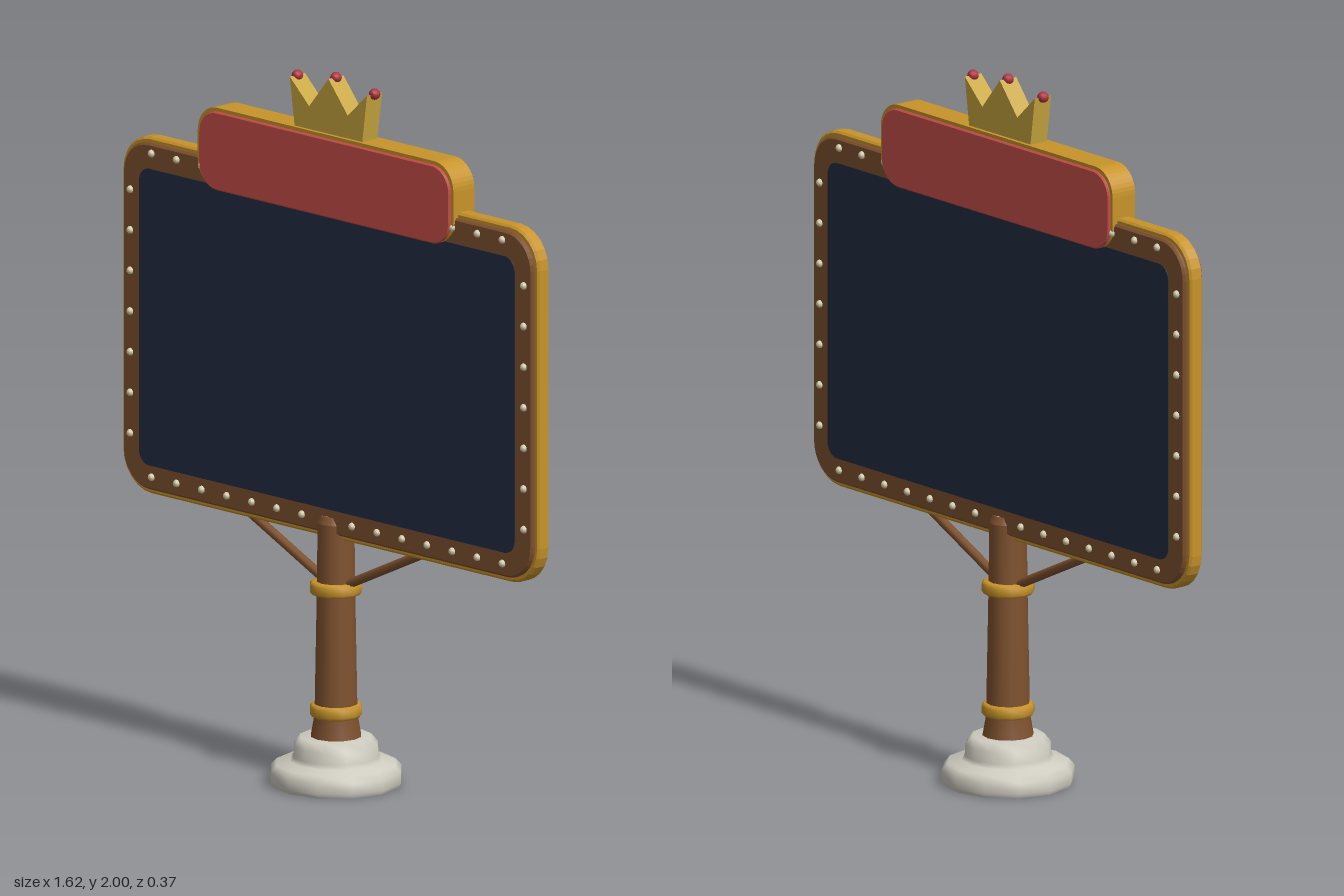
import * as THREE from 'three';

const material = (name, color) => {
  const m = new THREE.MeshStandardMaterial({ color });
  m.name = name;
  return m;
};

// Rounded rectangle outline spanning x = -w..w, y = y0..y1
function roundedRect(w, y0, y1, r) {
  const s = new THREE.Shape();
  s.moveTo(w, y0 + r);
  s.lineTo(w, y1 - r);
  s.absarc(w - r, y1 - r, r, 0, Math.PI / 2);
  s.absarc(-w + r, y1 - r, r, Math.PI / 2, Math.PI);
  s.absarc(-w + r, y0 + r, r, Math.PI, Math.PI * 1.5);
  s.absarc(w - r, y0 + r, r, Math.PI * 1.5, Math.PI * 2);
  return s;
}

// Slab of half thickness h centred on z = 0, with an inward bevel
function slab(shape, h, bevel, curveSegments) {
  const g = new THREE.ExtrudeGeometry(shape, {
    depth: 2 * (h - bevel), curveSegments, bevelEnabled: bevel > 0,
    bevelThickness: bevel, bevelSize: bevel, bevelOffset: -bevel, bevelSegments: 1,
  });
  return g.translate(0, 0, bevel - h);
}

export function createModel() {
  const wood = material('brown wood', 0x80522f);
  const gold = material('gold trim', 0xc8942a);
  const crownGold = material('crown yellow', 0xc8a63e);
  const red = material('sign red', 0xcb504a);
  const gemRed = material('gem red', 0xb03440);
  const navy = material('screen navy', 0x222d42);
  const stone = material('pale stone', 0xcfccc0);
  const cream = material('bulb cream', 0xd8d0b0);

  const model = new THREE.Group();
  const add = (name, geometry, mat, parent = model) => {
    const mesh = new THREE.Mesh(geometry, mat);
    mesh.name = name;
    parent.add(mesh);
    return mesh;
  };
  const lathe = (name, profile, sides, mat) =>
    add(name, new THREE.LatheGeometry(profile.map(p => new THREE.Vector2(...p)), sides), mat);

  // Stepped foot
  lathe('base', [[0, 0], [0.178, 0], [0.178, 0], [0.184, 0.012], [0.184, 0.042], [0.168, 0.06],
    [0.128, 0.068], [0.12, 0.08], [0.118, 0.112], [0.1, 0.134], [0, 0.136]], 12, stone);

  // Post with a flared foot and chamfered top
  lathe('post', [[0.072, 0.12], [0.07, 0.14], [0.061, 0.19], [0.06, 0.23], [0.054, 0.55],
    [0.052, 0.735], [0.052, 0.735], [0.042, 0.755], [0.042, 0.755], [0, 0.755]], 12, wood);

  // Gold collars around the post
  for (const y of [0.208, 0.552]) {
    lathe('collar', [[0.05, y - 0.018], [0.066, y - 0.018], [0.073, y - 0.01], [0.073, y + 0.01],
      [0.066, y + 0.018], [0.05, y + 0.018]], 12, gold);
  }

  // Diagonal braces under the board
  for (const side of [-1, 1]) {
    const a = new THREE.Vector3(side * 0.03, 0.56, 0);
    const b = new THREE.Vector3(side * 0.36, 0.715, 0);
    const brace = add('brace', new THREE.CylinderGeometry(0.013, 0.013, a.distanceTo(b), 8), wood);
    brace.position.copy(a).add(b).multiplyScalar(0.5);
    brace.quaternion.setFromUnitVectors(new THREE.Vector3(0, 1, 0), b.sub(a).normalize());
  }

  // Board: gold rim, wooden frame, two-sided screen
  add('boardRim', slab(roundedRect(0.81, 0.694, 1.696, 0.11), 0.022, 0.006, 3), gold);
  add('boardFrame', slab(roundedRect(0.796, 0.708, 1.682, 0.1), 0.034, 0.006, 4), wood);
  add('screen', slab(roundedRect(0.73, 0.777, 1.611, 0.04), 0.036, 0, 4), navy);

  // Bulbs along the frame on both faces
  const bulbs = new THREE.Group();
  bulbs.name = 'bulbs';
  model.add(bulbs);
  const bulbGeometry = new THREE.SphereGeometry(0.011, 8, 6);
  const bulb = (x, y) => {
    for (const z of [-0.034, 0.034]) add('bulb', bulbGeometry, cream, bulbs).position.set(x, y, z);
  };
  for (let i = 0; i < 15; i++) {
    const x = -0.682 + i * 0.0974;
    bulb(x, 0.745);
    if (Math.abs(x) > 0.45) bulb(x, 1.655);
  }
  for (let i = 0; i < 7; i++) {
    for (const x of [-0.765, 0.765]) bulb(x, 0.855 + i * 0.1142);
  }

  // Header sign: gold body with a red panel on each face
  add('signBody', slab(roundedRect(0.497, 1.602, 1.831, 0.075), 0.04, 0, 5), gold);
  add('signPanels', slab(roundedRect(0.488, 1.6, 1.821, 0.07), 0.047, 0.004, 5), red);

  // Crown with gem tips
  const tips = [[-0.15, 1.965], [0, 1.985], [0.15, 1.965]];
  const outline = [[-0.13, 1.82], [0.13, 1.82], tips[2], [0.075, 1.895], tips[1], [-0.075, 1.895], tips[0]];
  const crown = new THREE.Shape(outline.map(p => new THREE.Vector2(...p)));
  add('crown', slab(crown, 0.029, 0, 1), crownGold);
  for (const [x, y] of tips) {
    add('crownGem', new THREE.SphereGeometry(0.016, 8, 6), gemRed).position.set(x, y - 0.001, 0);
  }

  return model;
}
